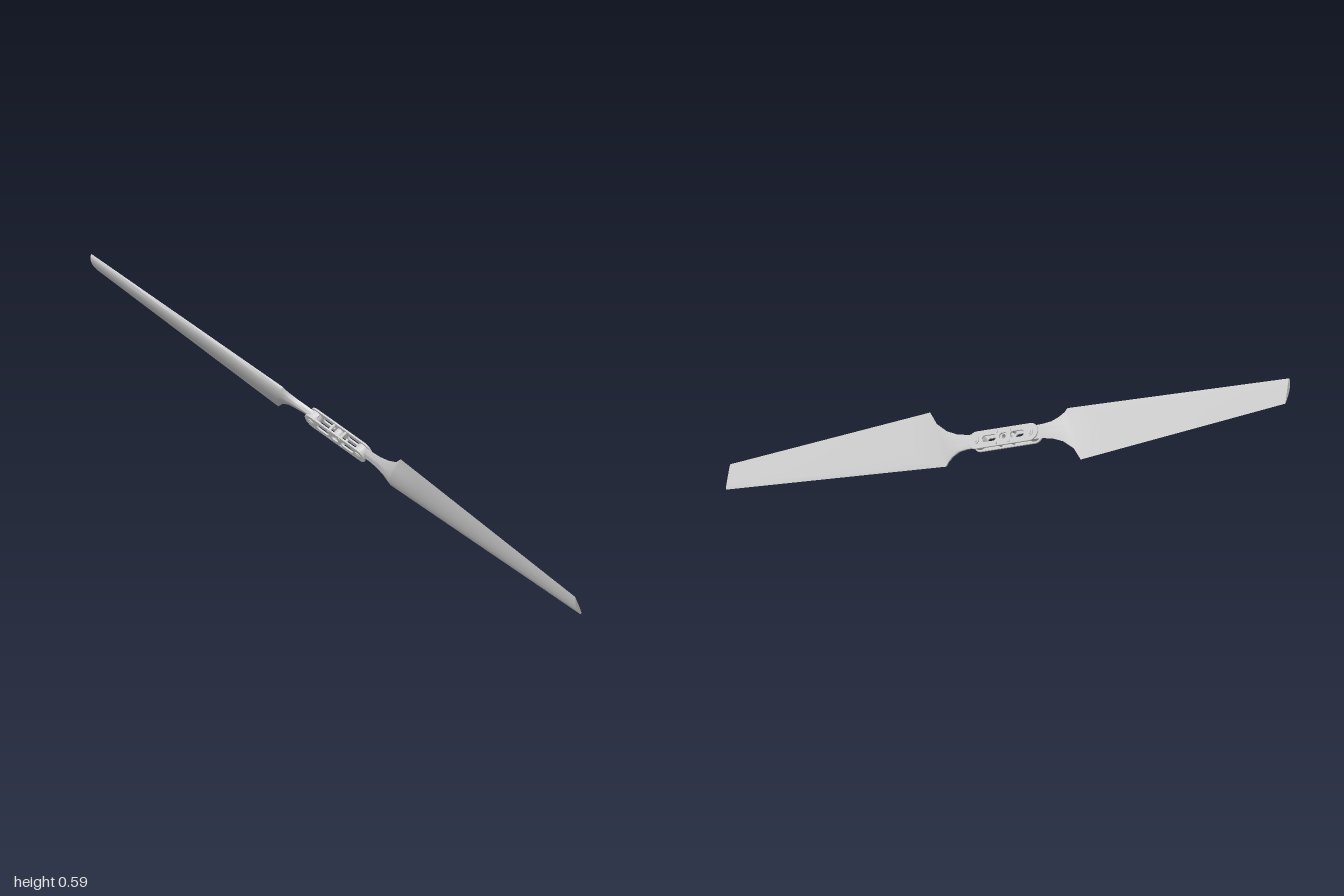
import * as THREE from 'three';
import { toCreasedNormals } from 'three/addons/utils/BufferGeometryUtils.js';

const mat = new THREE.MeshStandardMaterial({ color: 0xcccccc });

function add(group, name, geometry, x = 0, y = 0, z = 0) {
  const mesh = new THREE.Mesh(geometry, mat);
  mesh.name = name;
  mesh.position.set(x, y, z);
  group.add(mesh);
  return mesh;
}

// Blade stations: leading edge [span, chord, depth], trailing edge [span, chord, depth], thickness
const STATIONS = [
  [[0.085, -0.021, -0.014], [0.085, 0.021, -0.014], 0.017],
  [[0.14, -0.022, -0.014], [0.14, 0.024, -0.014], 0.017],
  [[0.17, -0.026, -0.012], [0.18, 0.031, -0.013], 0.018],
  [[0.195, -0.038, -0.008], [0.22, 0.046, -0.013], 0.019],
  [[0.212, -0.052, -0.004], [0.26, 0.074, -0.012], 0.02],
  [[0.22, -0.064, -0.002], [0.289, 0.1145, -0.012], 0.02],
];
const TIP = [[1.042, -0.037, 0], [1.034, 0.043, 0], 0.011];

function bladeGeometry() {
  const stations = STATIONS.slice();
  const root = STATIONS[STATIONS.length - 1];
  const mix = (a, b, t) => a.map((v, i) => v + (b[i] - v) * t);
  for (let i = 1; i <= 8; i++) {
    const t = i / 8;
    stations.push([mix(root[0], TIP[0], t), mix(root[1], TIP[1], t), root[2] + (TIP[2] - root[2]) * t]);
  }
  // Airfoil loop: domed front from nose to tail, nearly flat back on the return
  const half = 14, ring = half * 2;
  const pos = [], index = [];
  for (const [lead, trail, thick] of stations) {
    for (let j = 0; j < ring; j++) {
      const k = j <= half ? j / half : (ring - j) / half;
      const f = k * k * (3 - 2 * k);
      const h = 2.6 * Math.sqrt(f) * (1 - f) * thick * (j <= half ? 1 : -0.1);
      const p = mix(lead, trail, f);
      pos.push(p[0], p[1], p[2] + h);
    }
  }
  const last = (stations.length - 1) * ring;
  for (let i = 0; i < last; i += ring) {
    for (let j = 0; j < ring; j++) {
      const n = (j + 1) % ring;
      index.push(i + j, i + ring + j, i + n, i + n, i + ring + j, i + ring + n);
    }
  }
  // End caps, zipped between front and back
  for (let j = 0; j < half; j++) {
    const a = j, b = j + 1, c = ring - j - 1, d = (ring - j) % ring;
    index.push(a, b, c, last + a, last + c, last + b);
    if (j > 0) index.push(a, c, d, last + a, last + d, last + c);
  }
  const geo = new THREE.BufferGeometry();
  geo.setAttribute('position', new THREE.Float32BufferAttribute(pos, 3));
  geo.setIndex(index);
  return toCreasedNormals(geo, 0.7);
}

// Rounded slot outline centred on x
function stadium(target, x, halfLength, r) {
  target.absarc(x + halfLength, 0, r, -Math.PI / 2, Math.PI / 2, false);
  target.absarc(x - halfLength, 0, r, Math.PI / 2, Math.PI * 1.5, false);
  target.closePath();
  return target;
}

function plateGeometry() {
  const shape = stadium(new THREE.Shape(), 0, 0.1, 0.027);
  shape.holes.push(stadium(new THREE.Path(), 0, 0.004, 0.011));
  for (const s of [-1, 1]) shape.holes.push(stadium(new THREE.Path(), s * 0.052, 0.016, 0.011));
  const geo = new THREE.ExtrudeGeometry(shape, {
    depth: 0.004, bevelEnabled: true, bevelThickness: 0.001, bevelSize: 0.001, bevelSegments: 1, curveSegments: 12,
  });
  return geo.translate(0, 0, -0.002);
}

function pin(radius, depth, sides = 20) {
  return new THREE.CylinderGeometry(radius, radius, depth, sides).rotateX(Math.PI / 2);
}

export function createModel() {
  const model = new THREE.Group();
  model.name = 'foldingPropeller';
  const prop = new THREE.Group();
  prop.name = 'propeller';
  model.add(prop);

  // Tilt: local x runs along the blades, y across the chord, z along the spin axis
  const span = new THREE.Vector3(0.955, -0.254, 0.15).normalize();
  const axis = new THREE.Vector3(-0.257, -0.465, 0.85);
  axis.addScaledVector(span, -axis.dot(span)).normalize();
  const chord = new THREE.Vector3().crossVectors(axis, span);
  prop.quaternion.setFromRotationMatrix(new THREE.Matrix4().makeBasis(span, chord, axis));
  prop.position.set(0, 0.302, 0);

  // Two blades, each folded very slightly at its hinge
  const blade = bladeGeometry();
  for (const side of [1, -1]) {
    const arm = new THREE.Group();
    arm.name = side > 0 ? 'leftBladeArm' : 'rightBladeArm';
    arm.rotation.z = side > 0 ? 0 : Math.PI;
    prop.add(arm);
    const mesh = add(arm, 'blade', blade, 0, -0.0145 * side, 0);
    mesh.rotation.z = 0.0139 * side;
    add(arm, 'bladeKnuckle', pin(0.023, 0.022), 0.1, -0.0135 * side, -0.006);
  }

  // Hub: two slotted plates clamped around the blade roots
  const hub = new THREE.Group();
  hub.name = 'hub';
  hub.position.set(0, -0.0135, -0.006);
  prop.add(hub);
  const plate = plateGeometry();
  for (const z of [-0.015, 0.015]) add(hub, 'hubPlate', plate, 0, 0, z);
  for (const x of [-0.1, 0.1]) {
    add(hub, 'hingePin', pin(0.007, 0.044, 16), x);
    for (const z of [-0.019, 0.019]) add(hub, 'hingeWasher', pin(0.013, 0.003), x, 0, z);
  }
  for (const x of [-0.024, 0.024]) {
    for (const y of [-0.018, 0.018]) add(hub, 'spacer', pin(0.005, 0.04, 12), x, y);
  }

  // Central shaft collar
  const collar = new THREE.Shape().absarc(0, 0, 0.016, 0, Math.PI * 2, false);
  collar.holes.push(new THREE.Path().absarc(0, 0, 0.007, 0, Math.PI * 2, true));
  const collarGeo = new THREE.ExtrudeGeometry(collar, { depth: 0.026, bevelEnabled: false, curveSegments: 20 });
  add(hub, 'shaftCollar', collarGeo, 0, 0, -0.013);
  return model;
}
